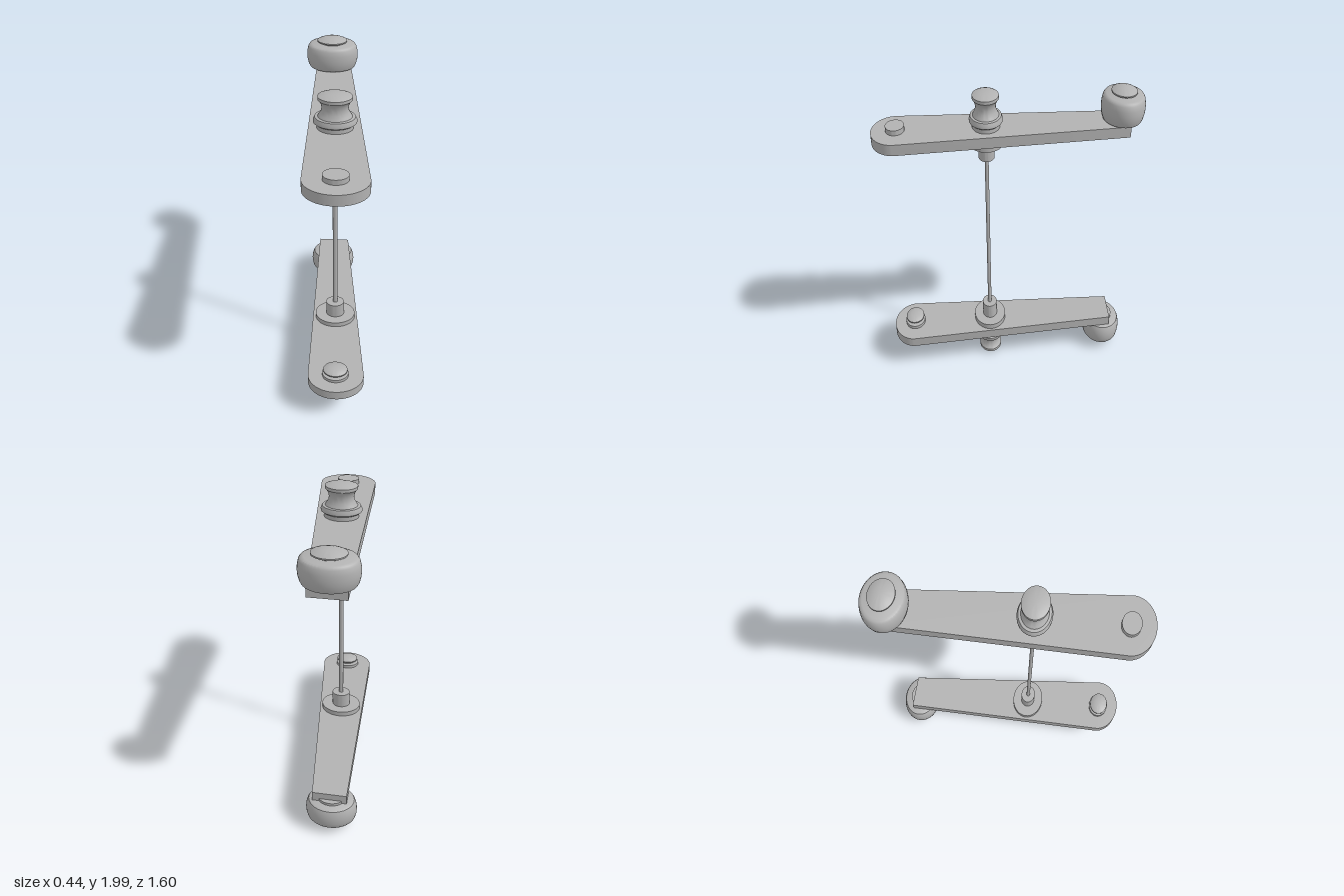
import * as THREE from 'three';
import { toCreasedNormals } from 'three/addons/utils/BufferGeometryUtils.js';

const MID = 1.003;    // mirror plane between the two arm assemblies
const OVAL = 0.785;   // all turned parts are slightly flattened along z

const grey = new THREE.MeshStandardMaterial({ color: 0xb2b2b2 });
grey.name = 'plain grey';

// Turned part from [radius, height] pairs, listed bottom to top
function turned(profile) {
  const g = new THREE.LatheGeometry(profile.map(([r, y]) => new THREE.Vector2(r, y)), 48);
  g.scale(1, 1, OVAL);
  return toCreasedNormals(g, 0.6);
}

// Tapered arm plate: straight back end, rounded front end
function armPlate() {
  const s = new THREE.Shape();
  s.moveTo(-0.165, 0.707);
  s.lineTo(-0.139, -0.66);
  s.absellipse(0.04, -0.66, 0.179, 0.14, Math.PI, Math.PI * 2, false);
  s.lineTo(0.055, 0.707);
  s.closePath();
  const g = new THREE.ExtrudeGeometry(s, { depth: 0.068, bevelEnabled: false, curveSegments: 32 });
  g.rotateX(-Math.PI / 2);
  g.translate(0, -0.034, 0);
  return toCreasedNormals(g, 0.6);
}

// Heights are those of the upper assembly, measured from the mid plane
const at = (profile) => profile.map(([r, y]) => [r, y - MID]);

const TURNED = {
  pivotKnob: { x: 0.004, z: 0.137, profile: at([
    [0, 1.78], [0.105, 1.78], [0.105, 1.815], [0.115, 1.82], [0.125, 1.828], [0.125, 1.84],
    [0.116, 1.86], [0.098, 1.862], [0.09, 1.875], [0.08, 1.892], [0.075, 1.915],
    [0.08, 1.94], [0.09, 1.957], [0.098, 1.965], [0.098, 1.984], [0.08, 1.991],
    [0.045, 1.998], [0, 2.0]]) },
  pivotHub: { x: 0.004, z: 0.137, profile: at([
    [0, 1.58], [0.061, 1.58], [0.061, 1.685], [0.135, 1.685], [0.135, 1.73], [0, 1.73]]) },
  roller: { x: -0.062, z: -0.668, profile: at([
    [0, 1.79], [0.13, 1.79], [0.146, 1.797], [0.155, 1.815], [0.162, 1.845], [0.164, 1.87],
    [0.162, 1.9], [0.155, 1.93], [0.146, 1.942], [0.13, 1.948], [0, 1.948]]) },
  rollerCap: { x: -0.062, z: -0.668, profile: at([
    [0, 1.94], [0.07, 1.94], [0.07, 1.955], [0.095, 1.96], [0.095, 1.968],
    [0.07, 1.979], [0.04, 1.987], [0, 1.99]]) },
  rollerAxle: { x: -0.062, z: -0.668, profile: at([
    [0, 1.77], [0.088, 1.77], [0.088, 1.8], [0, 1.8]]) },
  endPin: { x: 0.039, z: 0.66, profile: at([
    [0, 1.77], [0.07, 1.77], [0.07, 1.82], [0, 1.82]]) },
  endButton: { x: 0.037, z: 0.66, profile: at([
    [0, 1.65], [0.035, 1.652], [0.06, 1.658], [0.077, 1.667], [0.077, 1.675], [0.055, 1.68],
    [0.055, 1.695], [0.084, 1.698], [0.084, 1.73], [0, 1.73]]) },
};

export function createModel() {
  const model = new THREE.Group();
  model.name = 'twinArmLinkage';
  const add = (parent, name, geometry, x, y, z) => {
    const m = new THREE.Mesh(geometry, grey);
    m.name = name;
    m.position.set(x, y, z);
    parent.add(m);
    return m;
  };

  // Upper and lower arm assemblies, mirrored across the mid plane
  const plate = armPlate();
  const shapes = Object.entries(TURNED).map(([name, p]) => ({ name, ...p, geometry: turned(p.profile) }));
  for (const side of [1, -1]) {
    const assembly = new THREE.Group();
    assembly.name = side > 0 ? 'upperArmAssembly' : 'lowerArmAssembly';
    assembly.position.y = MID;
    add(assembly, 'arm', plate, 0, side * (1.755 - MID), 0);
    for (const { name, x, z, geometry } of shapes) {
      const part = add(assembly, name, geometry, x, 0, z);
      if (side < 0) part.rotation.x = Math.PI;
    }
    model.add(assembly);
  }

  // Thin rod joining both hubs
  const rod = new THREE.CylinderGeometry(0.015, 0.015, 1.2, 24);
  rod.scale(1, 1, OVAL);
  add(model, 'connectingRod', rod, 0.004, MID, 0.137);
  return model;
}
